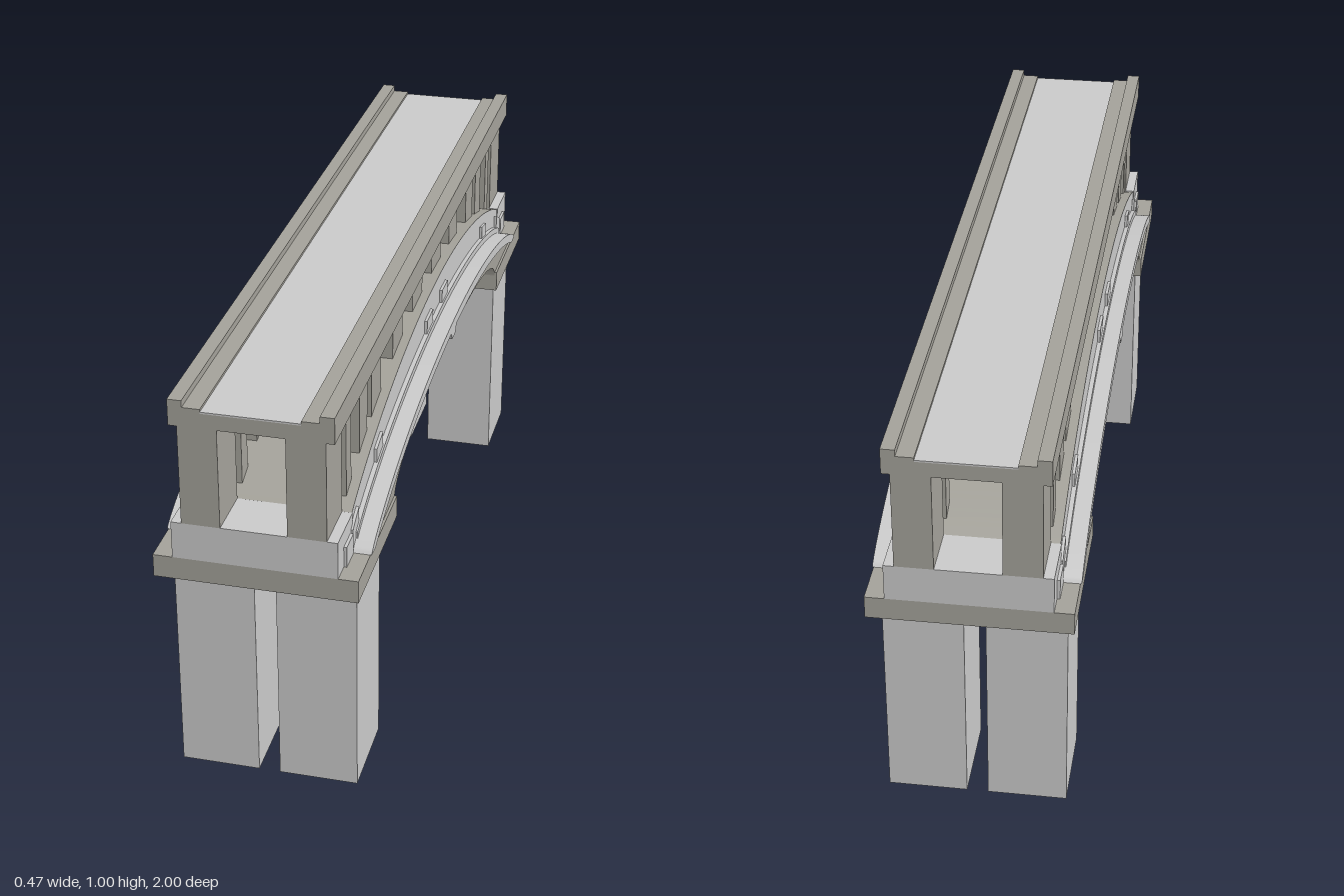
import * as THREE from 'three';
import { toCreasedNormals } from 'three/addons/utils/BufferGeometryUtils.js';

export function createModel() {
  const bridge = new THREE.Group();
  bridge.name = 'archBridge';
  const light = new THREE.MeshStandardMaterial({ name: 'paleConcrete', color: 0xc9c9c9 });
  const warm = new THREE.MeshStandardMaterial({ name: 'warmStone', color: 0xa3a199 });

  const add = (name, geometry, material) => {
    const mesh = new THREE.Mesh(geometry, material);
    mesh.name = name;
    bridge.add(mesh);
    return mesh;
  };
  // Box given by its minimum and maximum on every axis
  const box = (name, material, x0, x1, y0, y1, z0, z1) => {
    const mesh = add(name, new THREE.BoxGeometry(x1 - x0, y1 - y0, z1 - z0), material);
    mesh.position.set((x0 + x1) / 2, (y0 + y1) / 2, (z0 + z1) / 2);
  };
  // Same box on both sides of x = 0, for a signed z range
  const boxPair = (name, material, x0, x1, y0, y1, z0, z1) => {
    box(name + 'Left', material, x0, x1, y0, y1, z0, z1);
    box(name + 'Right', material, -x1, -x0, y0, y1, z0, z1);
  };
  // Side outline (z, y) swept across the bridge from x0 to x1
  const sweep = (name, points, x0, x1, material) => {
    const shape = new THREE.Shape(points.map(([z, y]) => new THREE.Vector2(-z, y)));
    const geo = new THREE.ExtrudeGeometry(shape, { depth: x1 - x0, bevelEnabled: false });
    geo.rotateY(Math.PI / 2).translate(x0, 0, 0);
    add(name, toCreasedNormals(geo, 0.5), material);
  };

  // Flattened arch curves: y as a function of z
  const arch = (half, base, rise, power) => z =>
    base + rise * Math.pow(Math.max(0, 1 - (z / half) ** 2), power);
  const crown = arch(0.9, 0.675, 0.178, 0.85);
  const ledge = arch(0.89, 0.605, 0.153, 0.75);
  const soffit = arch(0.63, 0.595, 0.115, 0.5);
  // Samples an arch, closer together near the steep ends
  const samples = (f, half, n = 64) => Array.from({ length: n + 1 }, (_, i) => {
    const z = -half * Math.cos(Math.PI * i / n);
    return [z, f(z)];
  });
  // Curved strip between two arches for z0..z1
  const strip = (name, z0, z1, low, high, x0, x1, material, n = 24) => {
    const zs = Array.from({ length: n + 1 }, (_, i) => z0 + (z1 - z0) * i / n);
    sweep(name, [...zs.map(z => [z, low(z)]), ...zs.reverse().map(z => [z, high(z)])], x0, x1, material);
  };
  const stripPair = (name, z0, z1, low, high, x0, x1, material, n) => {
    strip(name + 'Left', z0, z1, low, high, x0, x1, material, n);
    strip(name + 'Right', z0, z1, low, high, -x1, -x0, material, n);
  };

  // Main arch with its smooth soffit
  const under = z => Math.max(0.6, ledge(z) - 0.02);
  sweep('lowerArch', [...samples(under, 0.87), ...samples(soffit, 0.63).reverse()], -0.226, 0.226, warm);

  // Upper arch: pale sides, warm top
  strip('upperArch', -0.9, 0.9, z => Math.max(0.6, ledge(z) - 0.03), crown, -0.185, 0.185, [light, warm], 80);

  // Projecting ledge along each flank
  for (const s of [1, -1]) {
    const top = samples(ledge, 0.89);
    const bottom = samples(z => Math.max(0.603, ledge(z) - 0.026), 0.86).reverse();
    const x0 = s > 0 ? 0.18 : -0.235;
    sweep(s > 0 ? 'ledgeLeft' : 'ledgeRight', [...top, ...bottom], x0, x0 + 0.055, light);
  }

  // Raised border and blocks on the flanks
  stripPair('flankBorder', -0.86, 0.86, z => ledge(z) - 0.01, z => ledge(z) + 0.016, 0.18, 0.196, light, 70);
  for (const s of [1, -1]) {
    for (const [a, b] of [[0.055, 0.125], [0.6, 0.66], [0.83, 0.885]]) {
      stripPair('flankBlock', Math.min(s * a, s * b), Math.max(s * a, s * b),
        z => ledge(z) - 0.01, z => Math.min(ledge(z) + 0.05, crown(z) - 0.01), 0.18, 0.192, light, 6);
    }
  }
  // Keystone plates
  for (const s of [1, -1]) {
    sweep(s > 0 ? 'keystoneLeft' : 'keystoneRight',
      [[-0.02, 0.712], [0.02, 0.712], [0.045, 0.755], [-0.045, 0.755]],
      s > 0 ? 0.226 : -0.235, s > 0 ? 0.235 : -0.226, light);
  }

  // Abutments and twin piers at both ends
  for (const s of [1, -1]) {
    const range = (a, b) => (s > 0 ? [a, b] : [-b, -a]);
    const end = s > 0 ? 'front' : 'back';
    box(end + 'BearingSlab', warm, -0.232, 0.232, 0.55, 0.605, ...range(0.63, 1));
    box(end + 'Abutment', light, -0.187, 0.187, 0.605, 0.695, ...range(0.87, 1));
    boxPair(end + 'AbutmentPlate', light, 0.187, 0.194, 0.605, 0.655, ...range(0.89, 0.95));
    boxPair(end + 'Pier', light, 0.025, 0.21, 0, 0.55, ...range(0.71, 0.925));

    // Paired columns from the arch up to the deck
    const columns = [[0.055, 0.165], [0.275, 0.38], [0.5, 0.595], [0.635, 0.71], [0.785, 0.83], [0.87, 1]];
    for (const [a, b] of columns) {
      const foot = a > 0.86 ? 0.695 : crown(b) - 0.01;
      boxPair(end + 'Column', warm, 0.075, 0.163, foot, 0.936, ...range(a, b));
    }
  }

  // Deck, road surface and stepped kerbs
  box('deck', warm, -0.182, 0.182, 0.935, 0.971, -1, 1);
  box('roadSurface', light, -0.11, 0.11, 0.971, 0.975, -1, 1);
  boxPair('kerb', warm, 0.11, 0.15, 0.971, 0.981, -1, 1);
  boxPair('parapet', warm, 0.15, 0.182, 0.971, 0.997, -1, 1);

  return bridge;
}
